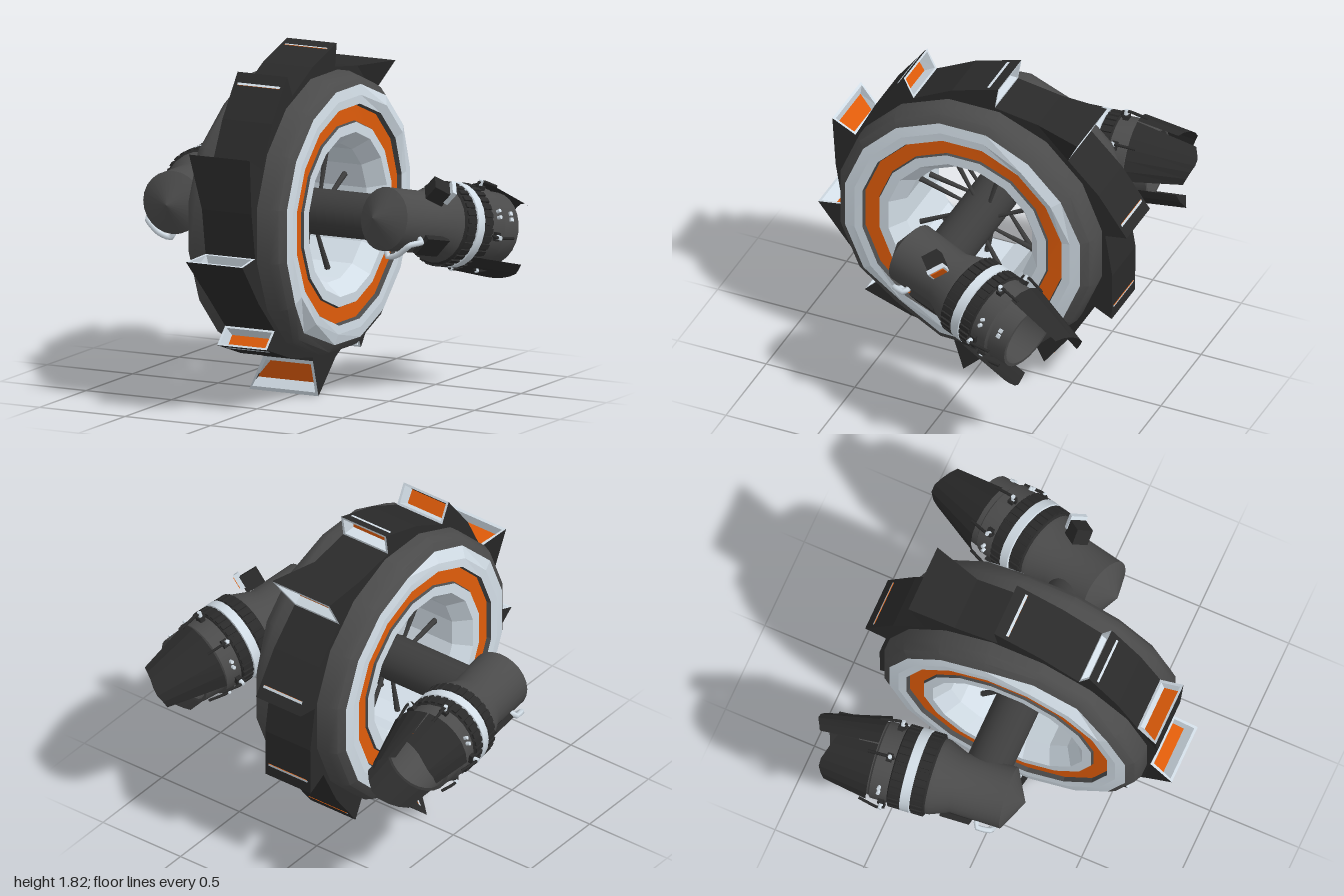
import * as THREE from 'three';
import { toCreasedNormals } from 'three/addons/utils/BufferGeometryUtils.js';

const RAD = Math.PI / 180;
const material = (name, color) => {
  const m = new THREE.MeshStandardMaterial({ color, side: THREE.DoubleSide });
  m.name = name;
  return m;
};

export function createModel() {
  const grey = material('dark grey', 0x4b4b4b);
  const axleGrey = material('axle grey', 0x3d3d3d);
  const black = material('black', 0x2a2a2a);
  const light = material('pale steel', 0xd2dde6);
  const orange = material('orange', 0xe05c0a);

  const add = (parent, name, geometry, mat) => {
    const mesh = new THREE.Mesh(geometry, mat);
    mesh.name = name;
    parent.add(mesh);
    return mesh;
  };
  const group = (parent, name) => {
    const g = new THREE.Group();
    g.name = name;
    parent.add(g);
    return g;
  };
  const lathe = (pts, sides, start = 0) =>
    new THREE.LatheGeometry(pts.map(([r, y]) => new THREE.Vector2(r, y)), sides, start);

  const model = new THREE.Group();
  model.name = 'wheelWithThrusters';
  const wheel = group(model, 'wheel');
  wheel.position.set(-0.025, 0.955, 0);

  // Tyre and rim: the same half profile on both sides, [radius, distance from middle]
  const rings = [
    ['tyre', grey, [[0.725, 0], [0.725, 0.215], [0.705, 0.26], [0.665, 0.287]]],
    ['outerRim', light, [[0.665, 0.287], [0.61, 0.295], [0.565, 0.293]]],
    ['grooveOuterWall', grey, [[0.565, 0.293], [0.557, 0.27]]],
    ['rimStripe', orange, [[0.557, 0.27], [0.478, 0.27]]],
    ['grooveInnerWall', grey, [[0.478, 0.27], [0.472, 0.283]]],
    ['innerRim', light, [[0.472, 0.283], [0.42, 0.285], [0.355, 0.2], [0.355, 0]]],
  ];
  // Battle damage on the rim: side, angle, radius, sideways push
  const dents = [[-1, 66, 0.69, -0.075], [1, -57, 0.69, -0.07], [1, 135, 0.63, 0.06]];
  const damage = (geometry, side) => {
    const p = geometry.attributes.position;
    for (let i = 0; i < p.count; i++) {
      const r = Math.hypot(p.getY(i), p.getZ(i));
      const deg = Math.atan2(p.getY(i), p.getZ(i)) / RAD;
      for (const [s, angle, radius, push] of dents) {
        const w = Math.max(0, 1 - Math.abs(deg - angle) / 26) * Math.max(0, 1 - Math.abs(r - radius) / 0.08);
        if (s === side) p.setX(i, p.getX(i) + side * push * w);
      }
    }
    return geometry;
  };
  for (const side of [-1, 1]) {
    for (const [name, mat, pts] of rings) {
      const g = lathe(pts.map(([r, d]) => [r * 1.015, d]), 16, Math.PI / 16);
      g.rotateZ(-side * Math.PI / 2);
      add(wheel, name, toCreasedNormals(damage(g, side), name === 'tyre' ? 0.6 : 0.1), mat);
    }
  }

  // Axle and two rows of tapered spokes
  const axle = add(model, 'axle', new THREE.CylinderGeometry(0.12, 0.12, 1.2, 20), axleGrey);
  axle.position.set(-0.03, 0.955, 0);
  axle.rotation.z = Math.PI / 2;
  for (let i = 0; i < 16; i++) {
    const lean = i % 2 ? 1 : -1;
    const spoke = group(wheel, 'spoke');
    spoke.rotation.x = (i - (i % 2) + 0.4 + 0.5 * lean) * Math.PI / 8;
    const rod = add(spoke, 'spokeRod', new THREE.CylinderGeometry(0.016, 0.009, 0.28, 6), axleGrey);
    rod.position.set(lean * 0.09, 0.23, 0);
    rod.rotation.x = lean * 0.15;
  }

  // Saw-tooth tread: sloping blocks, each ending in a framed, recessed vent
  const faces = { black: [], light: [], orange: [] };
  const quad = (list, a, b, c, d) => {
    for (const p of [a, b, c, a, c, d]) list.push(p.x, p.y, p.z);
  };
  const polar = (deg, r, x) =>
    new THREE.Vector3(x, r * Math.sin(deg * RAD), r * Math.cos(deg * RAD));
  const bent = { // bent teeth: tip radius, turn, left and right skew, foot radius, vent shape
    2: { r: 0.897, l: -0.065, depth: 0.05 }, 3: { r: 0.89, l: -0.04, slant: 0.85, depth: 0.06 },
    5: { r: 0.957, turn: -5.4, l: -0.115, foot: 0.77, slant: 0.7, depth: 0.05 },
    9: { r: 0.93, turn: -3.3, x: 0.08, slant: 0.7, depth: 0.06 },
  };
  const H = 0.145;
  for (let i = 0; i < 10; i++) {
    const a = 99 - 36 * i;
    const { r = 0.872, turn = 0, l = 0, x = 0, foot = 0.75, slant = 0.45, depth = 0.08 } = bent[i] || {};
    const [L, R] = [-1, 1].map((s) => ({
      tip: polar(a + turn, r, s * H + (s < 0 ? l : x)),
      base: polar(a, foot, s * H),
      mid: polar(a - 18, 0.79, s * H),
      end: polar(a - 36, 0.75, s * H),
      in0: polar(a, 0.69, s * H), in1: polar(a - 18, 0.69, s * H), in2: polar(a - 36, 0.69, s * H),
    }));
    quad(faces.black, L.mid, R.mid, R.tip, L.tip);
    quad(faces.black, L.end, R.end, R.mid, L.mid);
    quad(faces.black, R.in1, R.in0, R.base, R.mid);
    quad(faces.black, R.base, R.tip, R.mid, R.mid);
    quad(faces.black, R.in2, R.in1, R.mid, R.end);
    quad(faces.black, L.in0, L.in1, L.mid, L.base);
    quad(faces.black, L.base, L.mid, L.tip, L.tip);
    quad(faces.black, L.in1, L.in2, L.end, L.mid);
    quad(faces.black, L.in0, L.base, R.base, R.in0);
    const outer = [L.base, L.tip, R.tip, R.base];
    const centre = outer.reduce((s, p) => s.add(p), new THREE.Vector3()).multiplyScalar(0.25);
    const inset = (p, k, kx) => new THREE.Vector3(
      p.x + (centre.x - p.x) * kx, p.y + (centre.y - p.y) * k, p.z + (centre.z - p.z) * k);
    const lip = outer.map((p) => inset(p, 0.2, 0.09));
    const xAxis = new THREE.Vector3(1, 0, 0);
    const back = outer.map((p, k) =>
      inset(p, k === 1 || k === 2 ? slant : 0.25, 0.15).applyAxisAngle(xAxis, depth));
    for (let k = 0; k < 4; k++) {
      const n = (k + 1) % 4;
      quad(faces.light, outer[k], outer[n], lip[n], lip[k]);
      quad(faces.light, lip[k], lip[n], back[n], back[k]);
    }
    quad(faces.orange, ...back);
  }
  const treadPart = (name, list, mat) => {
    const g = new THREE.BufferGeometry();
    g.setAttribute('position', new THREE.Float32BufferAttribute(list, 3));
    g.computeVertexNormals();
    add(wheel, name, g, mat);
  };
  treadPart('treadTeeth', faces.black, black);
  treadPart('ventFrames', faces.light, light);
  treadPart('ventGlow', faces.orange, orange);

  // Thruster: built along local +z, angles measured as seen from the front
  const thruster = (name, pos, dir, side, petals) => {
    const t = group(model, name);
    t.position.set(...pos);
    t.lookAt(t.position.clone().add(new THREE.Vector3(...dir)));
    const turned = (deg) => (side > 0 ? deg : 180 - deg);
    const at = (deg, r, s) => {
      const q = turned(deg) * RAD;
      return new THREE.Vector3(-r * Math.cos(q), r * Math.sin(q), s);
    };
    const place = (mesh, deg, r, s) => {
      mesh.position.copy(at(deg, r, s));
      mesh.rotation.z = (90 - turned(deg)) * RAD;
      return mesh;
    };
    const turnedPart = (part, mat, pts) =>
      add(t, part, toCreasedNormals(lathe(pts, 24), 0.5).rotateX(Math.PI / 2), mat);
    const tube = (part, pts, r, mat) => add(t, part,
      new THREE.TubeGeometry(new THREE.CatmullRomCurve3(pts, false, 'catmullrom', 0.3), 14, r, 6), mat);

    turnedPart('casing', grey, [[0, -0.26], [0.165, -0.17], [0.16, 0.1], [0.2, 0.2], [0.205, 0.25],
      [0.205, 0.52], [0.192, 0.53], [0.185, 0.64], [0.168, 0.64], [0.165, 0.4]]);
    turnedPart('gripRing', black, [[0.2, 0.22], [0.212, 0.23], [0.212, 0.42], [0.2, 0.43]]);
    turnedPart('steelBand', light, [[0.21, 0.3], [0.222, 0.303], [0.222, 0.352], [0.21, 0.355]]);
    const glow = add(t, 'exhaustGlow', new THREE.CircleGeometry(0.167, 24), orange);
    glow.position.z = 0.43;

    // Ribs on both sides of the steel band
    for (let i = 0; i < 32; i++) {
      for (const s of [0.263, 0.388]) {
        place(add(t, 'gripRib', new THREE.BoxGeometry(0.026, 0.014, 0.06), black), i * 11.25, 0.213, s);
      }
    }

    // Nozzle petals with slanted ends: angle, span, start, length, end radius
    for (const [deg, arc, start, length, endRadius] of petals) {
      const span = arc * RAD;
      const g = new THREE.CylinderGeometry(endRadius, 0.23, length, 6, 1, true,
        -(90 + turned(deg)) * RAD - span / 2, span);
      const p = g.attributes.position, uv = g.attributes.uv;
      for (let i = 0; i < p.count; i++) {
        if (p.getY(i) > 0) p.setY(i, p.getY(i) - 0.1 * Math.abs(uv.getX(i) - 0.4));
      }
      const petal = add(t, 'nozzlePetal', toCreasedNormals(g.rotateX(Math.PI / 2), 0.1), black);
      petal.position.z = start + length / 2;
    }

    // Hinge hooks, pins and bolts around the casing
    for (const deg of [105, 225, -35]) {
      for (const off of [-28, 28]) {
        tube('hingeHook', [at(deg + off, 0.2, 0.44), at(deg + off, 0.235, 0.43),
          at(deg + off, 0.245, 0.47), at(deg + off, 0.225, 0.57)], 0.008, black);
        place(add(t, 'hingeBlock', new THREE.BoxGeometry(0.045, 0.025, 0.03), black), deg + off, 0.212, 0.455);
        place(add(t, 'hingePin', new THREE.CylinderGeometry(0.012, 0.012, 0.03, 8), light), deg + off, 0.237, 0.45);
      }
      for (const off of [55, 64]) {
        place(add(t, 'bolt', new THREE.CylinderGeometry(0.01, 0.01, 0.03, 8), light), deg + off, 0.21, 0.47);
        place(add(t, 'tailBolt', new THREE.BoxGeometry(0.02, 0.015, 0.02), light), deg + off, 0.192, 0.58);
      }
    }

    // Curved handle and dark panel below the nose
    tube('handle', [at(-88, 0.15, -0.13), at(-82, 0.195, -0.13), at(-60, 0.195, -0.13),
      at(-35, 0.195, -0.12), at(-28, 0.195, -0.05), at(-28, 0.15, -0.04)], 0.015, light);
    place(add(t, 'sidePanel', new THREE.BoxGeometry(0.12, 0.03, 0.16), black), -40, 0.168, 0.07);

    // Signal box on the left thruster, its lamp facing back and outward
    if (side > 0) {
      const box = place(group(t, 'signalBox'), 48, 0.225, 0.12);
      box.rotateY(-0.5);
      const base = add(box, 'signalBase', new THREE.BoxGeometry(0.09, 0.09, 0.1), black);
      base.position.set(0, -0.015, -0.055);
      const frame = add(box, 'signalFrame', new THREE.BoxGeometry(0.095, 0.085, 0.025), light);
      const lamp = add(box, 'signalLamp', new THREE.BoxGeometry(0.075, 0.065, 0.006), orange);
      frame.position.set(0, 0.01, 0);
      lamp.position.set(0, 0.01, 0.014);
    }
  };
  thruster('leftThruster', [0.605, 0.955, 0], [0.27, -0.2, -0.945], 1,
    [[130, 115, 0.54, 0.36, 0.14], [-66, 54, 0.36, 0.36, 0.255]]);
  thruster('rightThruster', [-0.69, 0.955, 0], [-0.1, -0.02, -0.99], -1,
    [[135, 88, 0.53, 0.36, 0.15], [45, 88, 0.53, 0.28, 0.19], [235, 90, 0.5, 0.35, 0.2]]);

  return model;
}
